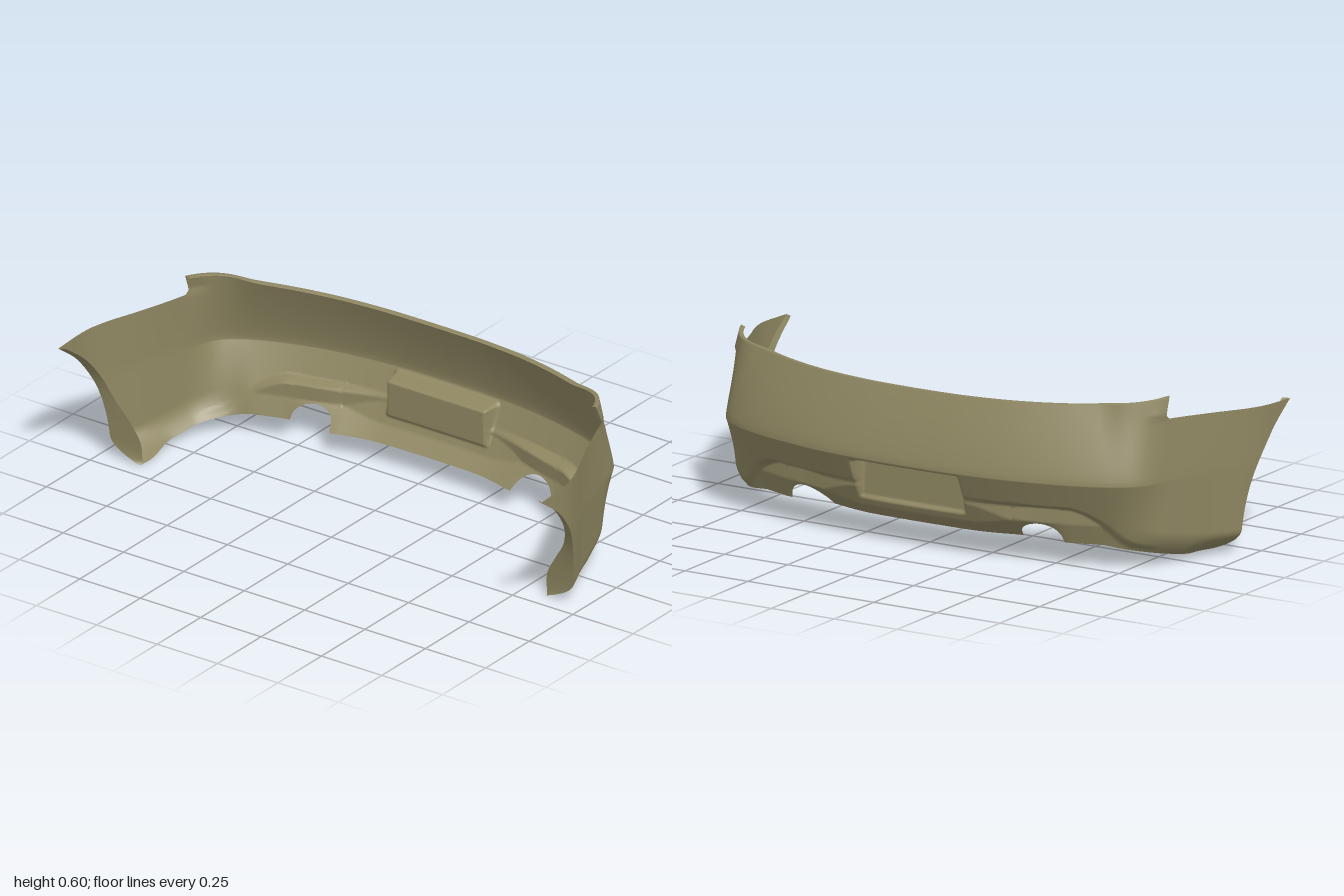
import * as THREE from 'three';

const V2 = (a) => a.map(([x, y]) => new THREE.Vector2(x, y));
const { lerp, smoothstep: ss, clamp } = THREE.MathUtils;

// Plan line of the widest level, as (x, z) from the middle round to the wing tip
const plan = new THREE.SplineCurve(V2([
  [0, -0.433], [0.2, -0.428], [0.4, -0.405], [0.6, -0.357], [0.75, -0.293], [0.83, -0.22],
  [0.868, -0.1], [0.9, 0], [0.935, 0.1], [0.975, 0.2], [0.997, 0.29], [1, 0.43],
])).getPoints(600);

// Wheel arch edge as (y, z)
const arch = new THREE.SplineCurve(V2([
  [0, 0.185], [0.08, 0.19], [0.16, 0.2], [0.24, 0.22], [0.31, 0.25], [0.38, 0.3], [0.43, 0.35], [0.49, 0.432],
])).getPoints(120);

// Inner edge of the arch flange as (y, x)
const flangeInner = new THREE.SplineCurve(V2([
  [0, 0.838], [0.08, 0.842], [0.15, 0.88], [0.23, 0.93], [0.33, 0.958], [0.49, 0.975],
])).getPoints(60);

// Reads a polyline at a value of one axis
function read(points, key, value, out) {
  let i = 1;
  while (i < points.length - 1 && points[i][key] < value) i++;
  const a = points[i - 1], b = points[i];
  return lerp(a[out], b[out], clamp((value - a[key]) / (b[key] - a[key]), 0, 1));
}

const WAIST = 0.31, NOTCH_Y = 0.52, NOTCH_Z = -0.1, CORNER_X = 0.868, NOTCH_BOTTOM = 0.045;

// Inward offset of the skin from the plan line
function inset(x, z, y, bottom) {
  const side = ss(z, -0.31, NOTCH_Z);
  if (y >= WAIST) {
    const k = Math.pow((y - WAIST) / 0.25, 1.25);
    return lerp(0.085, 0.015 * (1 - ss(z, -0.1, 0.2)), side) * k;
  }
  const d = WAIST - y;
  const roll = Math.pow(clamp(1 - (y - bottom) / 0.08, 0, 1), 2);
  let off = lerp(0.45 * d, 0.05 * d, side) + roll * side * (0.04 + 0.07 * ss(z, -0.02, 0.18));
  // recessed lower panel
  const edge = 0.22 - 0.17 * Math.pow(Math.max(0, (x - 0.59) / 0.3), 1.6);
  const slope = lerp(1.2, 0.35, ss(x, 0.35, 0.6));
  const deep = 0.052 + Math.max(0, 0.15 - y) * slope + 0.032 * ss(x, 0.2, 0.5);
  off = lerp(off, Math.max(deep, off), ss(edge - y, 0, 0.02) * (1 - side));
  // plate recess
  const plate = (1 - ss(x, 0.198, 0.217)) * (1 - ss(y, 0.284, 0.3)) * ss(y, 0.148, 0.162);
  return lerp(off, -0.348 - z, plate);
}

// Point of the skin at a plan position and height
function skin(x, z, y, bottom, extra = 0) {
  const turn = (Math.PI / 2) * Math.pow(Math.min(1, x / CORNER_X), 4.5);
  const off = inset(x, z, y, bottom) + extra;
  return [x - Math.sin(turn) * off, y, z + Math.cos(turn) * off];
}

// Lower edge of the rear part, with the round exhaust cutouts
function rearBottom(x, z) {
  const dx = (x - 0.473) / 0.09;
  if (Math.abs(dx) < 1) return 0.08 + 0.063 * Math.sqrt(1 - dx * dx);
  return x < 0.6 ? 0.08 : 0.08 - 0.035 * Math.pow(clamp((z + 0.3) / 0.2, 0, 1), 1.2);
}

const LOW = 46, MID = 10, TOP = 6;

function levels(bottom, top) {
  const ys = [];
  for (let i = 0; i < LOW; i++) ys.push(lerp(bottom, WAIST, i / LOW));
  for (let i = 0; i <= MID; i++) ys.push(lerp(WAIST, NOTCH_Y, i / MID));
  for (let i = 1; i <= TOP && top; i++) ys.push(lerp(NOTCH_Y, top, i / TOP));
  return ys;
}

// Columns of skin points for the +x half
function halfColumns() {
  const cols = [], rear = [];
  for (let i = 0; i <= 148; i++) rear.push([i * 0.005, read(plan, 'x', i * 0.005, 'y')]);
  const z0 = rear[148][1];
  for (let i = 1; i <= 24; i++) {
    const z = lerp(z0, NOTCH_Z, i / 24);
    rear.push([read(plan, 'y', z, 'x'), z]);
  }
  for (const [x, z] of rear) {
    const bottom = rearBottom(x, z);
    const top = 0.56 + 0.037 * Math.pow(clamp((z + 0.433) / 0.333, 0, 1), 0.8);
    const col = levels(bottom, top).map((y) => skin(x, z, y, bottom));
    col.push(skin(x, z, top - 0.006, bottom, 0.018)); // turned-in top lip
    // hooked outline of the notch
    const hook = ss(z, -0.2, NOTCH_Z);
    for (const p of col) {
      if (p[1] > NOTCH_Y + 0.001) p[2] += hook * lerp(-0.016, 0.01, clamp((p[1] - 0.535) / 0.06, 0, 1));
    }
    cols.push(col);
  }
  // side wings, stretched from the notch to the wheel arch
  const base = levels(NOTCH_BOTTOM, 0);
  for (let i = 1; i <= 24; i++) {
    const a = i / 24, bottom = NOTCH_BOTTOM * Math.pow(1 - a, 1.5);
    const sag = bottom - NOTCH_BOTTOM * (1 - a);
    cols.push(base.map((y0) => {
      const k = (y0 - NOTCH_BOTTOM) / (NOTCH_Y - NOTCH_BOTTOM), yA = 0.49 * k;
      const y = lerp(y0, yA, a) + sag * (1 - k), z = lerp(NOTCH_Z, read(arch, 'x', yA, 'y'), a);
      return skin(read(plan, 'y', z, 'x'), z, y, bottom);
    }));
  }
  return cols;
}

// Joins neighbouring columns into one surface
function loft(cols) {
  const pos = [], index = [], start = [];
  for (const col of cols) {
    start.push(pos.length / 3);
    col.forEach((p) => pos.push(...p));
  }
  for (let c = 0; c + 1 < cols.length; c++) {
    const n = Math.min(cols[c].length, cols[c + 1].length) - 1;
    for (let r = 0; r < n; r++) {
      const a = start[c] + r, b = start[c + 1] + r;
      index.push(a, a + 1, b, b, a + 1, b + 1);
    }
  }
  const g = new THREE.BufferGeometry();
  g.setAttribute('position', new THREE.Float32BufferAttribute(pos, 3));
  g.setIndex(index);
  g.computeVertexNormals();
  return g;
}

const mirror = (col) => col.map(([x, y, z]) => [-x, y, z]);

export function createModel() {
  const group = new THREE.Group();
  group.name = 'rearBumper';
  const material = new THREE.MeshStandardMaterial({ color: 0x8f8762, side: THREE.DoubleSide });
  const add = (name, geometry) => {
    const mesh = new THREE.Mesh(geometry, material);
    mesh.name = name;
    group.add(mesh);
  };

  // bumper skin
  const half = halfColumns();
  add('bumperSkin', loft([...half.slice(1).reverse().map(mirror), ...half]));

  // wheel arch flanges turned inward
  const outer = half[half.length - 1];
  const inner = outer.map(([x, y, z]) => [Math.min(x, read(flangeInner, 'x', y, 'y')), y, z - 0.012]);
  add('leftArchFlange', loft([outer, inner]));
  add('rightArchFlange', loft([mirror(inner), mirror(outer)]));
  return group;
}
